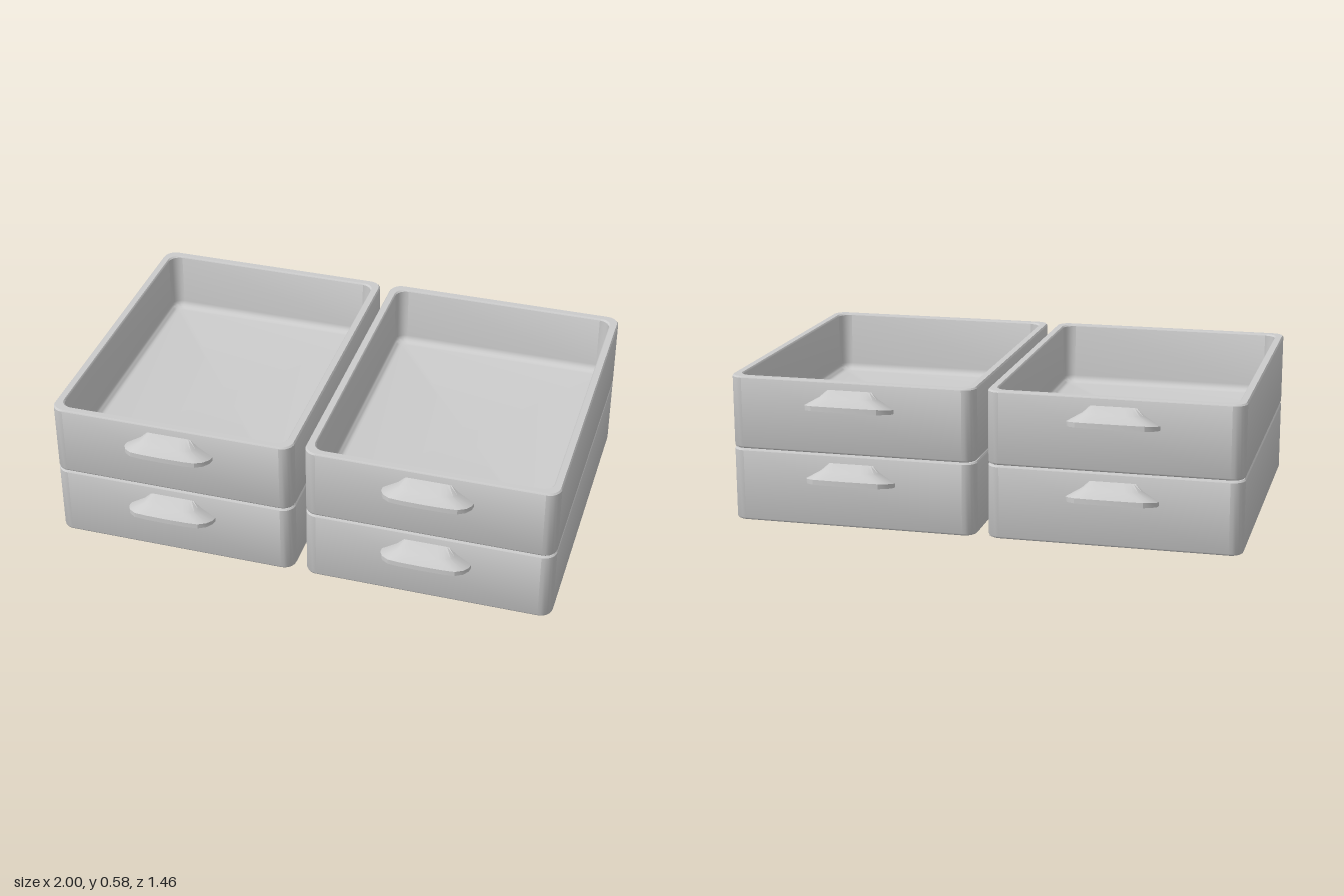
import * as THREE from 'three';
import { toCreasedNormals } from 'three/addons/utils/BufferGeometryUtils.js';

const WIDTH = 0.978, DEPTH = 1.285, HEIGHT = 0.288, PITCH = 0.29, WALL = 0.034, FLOOR = 0.035;

// Skin a list of equally long rings of points
function loft(rings, crease) {
  const n = rings[0].length;
  const index = [];
  for (let i = 0; i < rings.length - 1; i++) {
    for (let j = 0; j < n - 1; j++) {
      const a = i * n + j, d = a + n;
      index.push(a, d, d + 1, a, d + 1, a + 1);
    }
  }
  const geometry = new THREE.BufferGeometry().setFromPoints(rings.flat());
  geometry.setIndex(index);
  return toCreasedNormals(geometry, crease);
}

// Horizontal rounded rectangle, inset from the tray outline; inset null closes to the centre
function trayRing(inset, y, radius) {
  const points = [];
  const hx = WIDTH / 2 - inset - radius, hz = DEPTH / 2 - inset - radius;
  for (let corner = 0; corner < 4; corner++) {
    const sx = corner === 0 || corner === 3 ? 1 : -1, sz = corner < 2 ? 1 : -1;
    for (let k = 0; k <= 6; k++) {
      const a = (corner + k / 6) * Math.PI / 2;
      points.push(inset === null
        ? new THREE.Vector3(0, y, 0)
        : new THREE.Vector3(sx * hx + radius * Math.cos(a), y, sz * hz + radius * Math.sin(a)));
    }
  }
  points.push(points[0].clone());
  return points;
}

function trayGeometry() {
  const rings = [
    trayRing(null, 0, 0),
    trayRing(0.009, 0, 0.04),
    trayRing(0.003, 0.003, 0.046),
    trayRing(0, 0.009, 0.05),
    trayRing(0, HEIGHT - 0.006, 0.05),
    trayRing(0.005, HEIGHT, 0.046),
    trayRing(WALL - 0.005, HEIGHT, 0.046),
    trayRing(WALL, HEIGHT - 0.006, 0.045),
  ];
  // Rounded transition from inner wall to floor
  const fillet = 0.03;
  for (let k = 0; k <= 5; k++) {
    const a = k / 5 * Math.PI / 2;
    rings.push(trayRing(WALL + fillet * (1 - Math.cos(a)), FLOOR + fillet * (1 - Math.sin(a)), 0.045 - 0.02 * k / 5));
  }
  rings.push(trayRing(null, FLOOR, 0));
  return loft(rings, 0.7);
}

// Hollow hooded pull: rings run up the inside, round the lip and over the outside
function handleGeometry() {
  const half = [[0.175, 0], [0.173, 0.03], [0.158, 0.06], [0.13, 0.081], [0.085, 0.086], [0, 0.088]];
  const outline = half.concat(half.slice(0, -1).reverse().map(([x, z]) => [-x, z]));
  const ring = (sx, sz, y, rise, inset = 0) => outline.map(([x, z]) => new THREE.Vector3(
    x * sx * (1 - inset / 0.175), y + rise * z / 0.088, Math.max(0, z * sz * (1 - inset / 0.088))));
  return loft([
    ring(0.5, 0, 0.242, 0, 0.012),
    ring(0.62, 0.7, 0.213, 0.008, 0.012),
    ring(1, 1, 0.185, 0.014, 0.012),
    ring(1, 1, 0.175, 0.014, 0.01),
    ring(1, 1, 0.175, 0.014),
    ring(1, 1, 0.191, 0.018),
    ring(0.66, 0.7, 0.228, 0.008),
    ring(0.5, 0, 0.255, 0),
  ], 0.5);
}

export function createModel() {
  const model = new THREE.Group();
  model.name = 'stackedTrays';
  const material = new THREE.MeshStandardMaterial({ color: 0xcccccc });
  const handleMaterial = new THREE.MeshStandardMaterial({ color: 0xcccccc, side: THREE.DoubleSide });
  const trayShape = trayGeometry(), handleShape = handleGeometry();

  // Two stacks of two trays, each with a pull at front and back
  for (const [side, sign] of [['left', 1], ['right', -1]]) {
    for (const [level, row] of [['Lower', 0], ['Upper', 1]]) {
      const tray = new THREE.Group();
      tray.name = side + level + 'Tray';
      tray.position.set(sign * (1 - WIDTH / 2), row * PITCH, 0);

      const body = new THREE.Mesh(trayShape, material);
      body.name = 'trayBody';
      tray.add(body);

      for (const [name, face] of [['frontHandle', 1], ['backHandle', -1]]) {
        const handle = new THREE.Mesh(handleShape, handleMaterial);
        handle.name = name;
        handle.position.z = face * (DEPTH / 2 - 0.001);
        handle.rotation.y = face > 0 ? 0 : Math.PI;
        tray.add(handle);
      }
      model.add(tray);
    }
  }
  return model;
}
